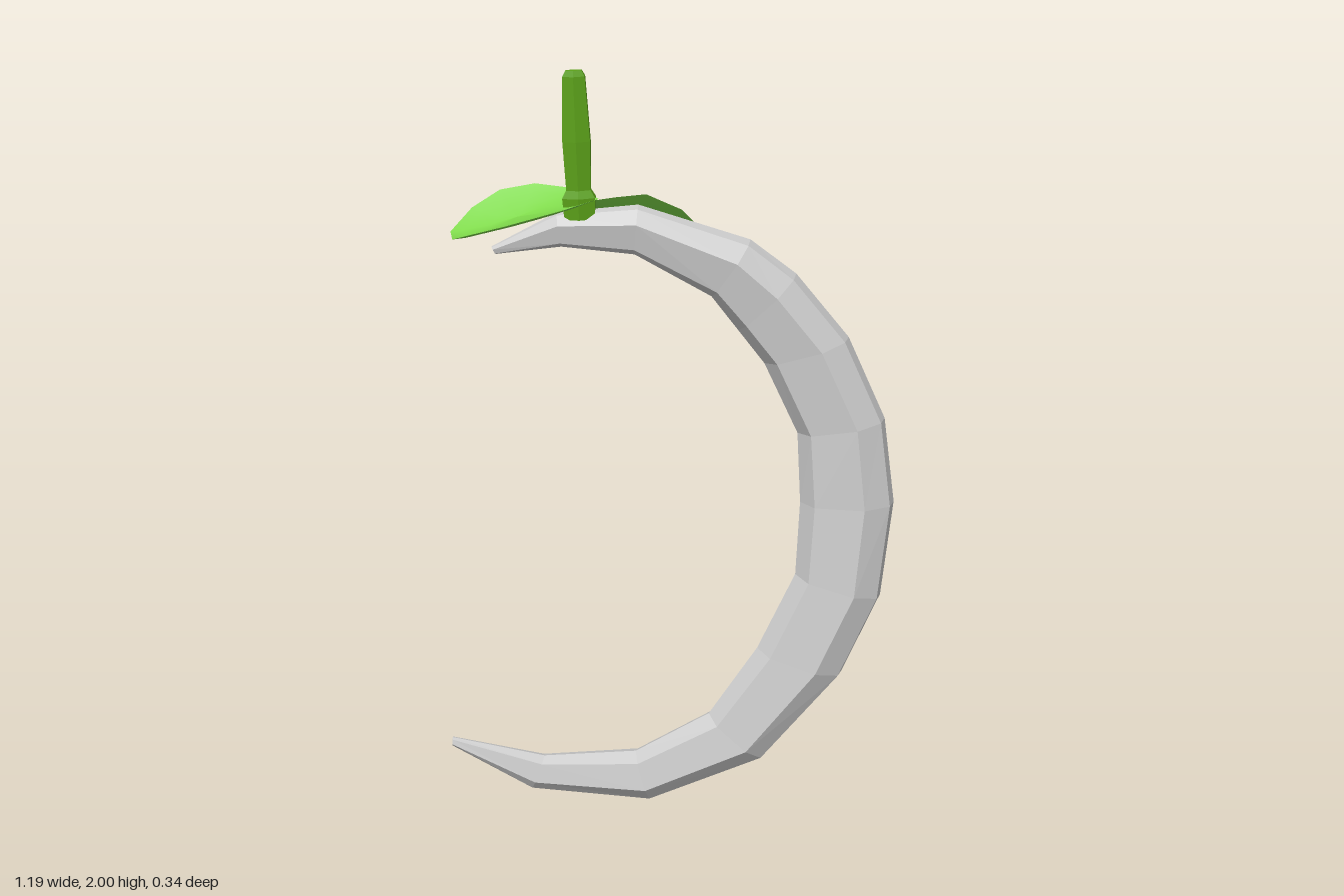
import * as THREE from 'three';

const mesh = (name, geometry, color, flatShading) => {
  const m = new THREE.Mesh(geometry, new THREE.MeshStandardMaterial({ color, flatShading }));
  m.name = name;
  return m;
};

const buildGeometry = (positions, index) => {
  const g = new THREE.BufferGeometry();
  g.setAttribute('position', new THREE.Float32BufferAttribute(positions, 3));
  g.setIndex(index);
  g.computeVertexNormals();
  return g;
};

// Each ring: outer x, outer y, inner x, inner y, centre z, half depth
const RINGS = [
  [-0.47, 1.54, -0.46, 1.52, 0.03, 0.012],
  [-0.3, 1.63, -0.29, 1.54, 0.025, 0.035],
  [-0.09, 1.65, -0.1, 1.52, 0.02, 0.055],
  [0.2, 1.56, 0.1, 1.41, 0.02, 0.075],
  [0.32, 1.47, 0.17, 1.32, 0.02, 0.077],
  [0.46, 1.3, 0.24, 1.23, 0.02, 0.078],
  [0.56, 1.08, 0.33, 1.04, 0.025, 0.078],
  [0.59, 0.85, 0.34, 0.85, 0.037, 0.078],
  [0.56, 0.59, 0.33, 0.65, 0.055, 0.078],
  [0.46, 0.37, 0.23, 0.44, 0.07, 0.08],
  [0.25, 0.125, 0.1, 0.25, 0.085, 0.075],
  [-0.06, 0.0, -0.1, 0.14, 0.1, 0.062],
  [-0.385, 0.035, -0.35, 0.13, 0.118, 0.042],
  [-0.6, 0.162, -0.6, 0.186, 0.13, 0.013],
];

// Faceted cross-section: radial (1 = outer edge), depth
const SECTION = [
  [1, -0.05], [0.9, 0.5], [0.35, 1], [-0.7, 0.75],
  [-1, 0.1], [-0.8, -0.6], [-0.1, -1], [0.7, -0.7],
];

// Tapered crescent skinned over the rings, with closed tips
function crescentGeometry() {
  const pos = [], index = [], n = SECTION.length, last = (RINGS.length - 1) * n;
  for (const [ox, oy, ix, iy, z, depth] of RINGS) {
    for (const [u, w] of SECTION) {
      const t = (u + 1) / 2;
      pos.push(ix + (ox - ix) * t, iy + (oy - iy) * t, z + w * depth);
    }
  }
  for (let i = 0; i < RINGS.length - 1; i++) {
    for (let j = 0; j < n; j++) {
      const k = (j + 1) % n, a = i * n + j, b = i * n + k;
      index.push(a, b, b + n, a, b + n, a + n);
    }
  }
  for (let j = 1; j < n - 1; j++) {
    index.push(0, j + 1, j, last, last + j, last + j + 1);
  }
  return buildGeometry(pos, index);
}

// Cupped leaf: an upper and a lower skin sharing one rim
function leafGeometry(outline, sag, thickness) {
  const pos = [], index = [], n = outline.length;
  const steps = [0, 0.4, 0.8, 1];
  const c = [0, 1, 2].map(k => outline.reduce((s, p) => s + p[k], 0) / n);
  for (const lower of [false, true]) {
    const start = pos.length / 3;
    for (const t of steps) {
      const drop = (sag + (lower ? thickness : 0)) * (1 - t * t);
      for (const p of outline) {
        const [x, y, z] = p.map((v, k) => c[k] + (v - c[k]) * t);
        pos.push(x, y - drop, z);
      }
    }
    for (let i = 0; i < steps.length - 1; i++) {
      for (let j = 0; j < n; j++) {
        const a = start + i * n + j, b = start + i * n + (j + 1) % n;
        if (lower) index.push(a, a + n, b + n, a, b + n, b);
        else index.push(a, b + n, a + n, a, b, b + n);
      }
    }
  }
  return buildGeometry(pos, index);
}

export function createModel() {
  const model = new THREE.Group();
  model.name = 'curvedPlant';
  model.add(mesh('crescentBody', crescentGeometry(), 0xcccccc, true));

  // Leaves on either side of the stem
  const leftOutline = [
    [-0.19, 1.67, 0.045], [-0.28, 1.655, 0.12], [-0.42, 1.625, 0.17], [-0.56, 1.58, 0.125],
    [-0.57, 1.59, 0.08], [-0.52, 1.64, 0.02], [-0.45, 1.68, -0.015],
    [-0.36, 1.695, -0.025], [-0.25, 1.685, -0.01],
  ];
  const rightOutline = [
    [-0.26, 1.66, 0.01], [-0.29, 1.65, -0.04], [-0.25, 1.62, -0.09], [-0.13, 1.555, -0.172],
    [0.03, 1.54, -0.165], [0.05, 1.575, -0.12], [0.02, 1.62, -0.06],
    [-0.07, 1.675, 0.008], [-0.15, 1.67, 0.025], [-0.22, 1.66, 0.03],
  ];
  model.add(mesh('frontLeaf', leafGeometry(leftOutline, 0.022, 0.012), 0x7ed84a, false));
  model.add(mesh('backLeaf', leafGeometry(rightOutline, 0.012, 0.012), 0x7ed84a, false));

  // Six-sided upright stem with a flared foot
  const profile = [[0, 0], [0.045, 0], [0.049, 0.055], [0.036, 0.075], [0.041, 0.2], [0.033, 0.365], [0.024, 0.38], [0, 0.382]]
    .map(([r, y]) => new THREE.Vector2(r, y));
  const stem = mesh('stem', new THREE.LatheGeometry(profile, 6), 0x5a9f18, true);
  stem.scale.z = 0.75;
  stem.position.set(-0.24, 1.615, 0.03);
  stem.rotation.set(-0.05, 0, 0.035);
  model.add(stem);
  return model;
}
